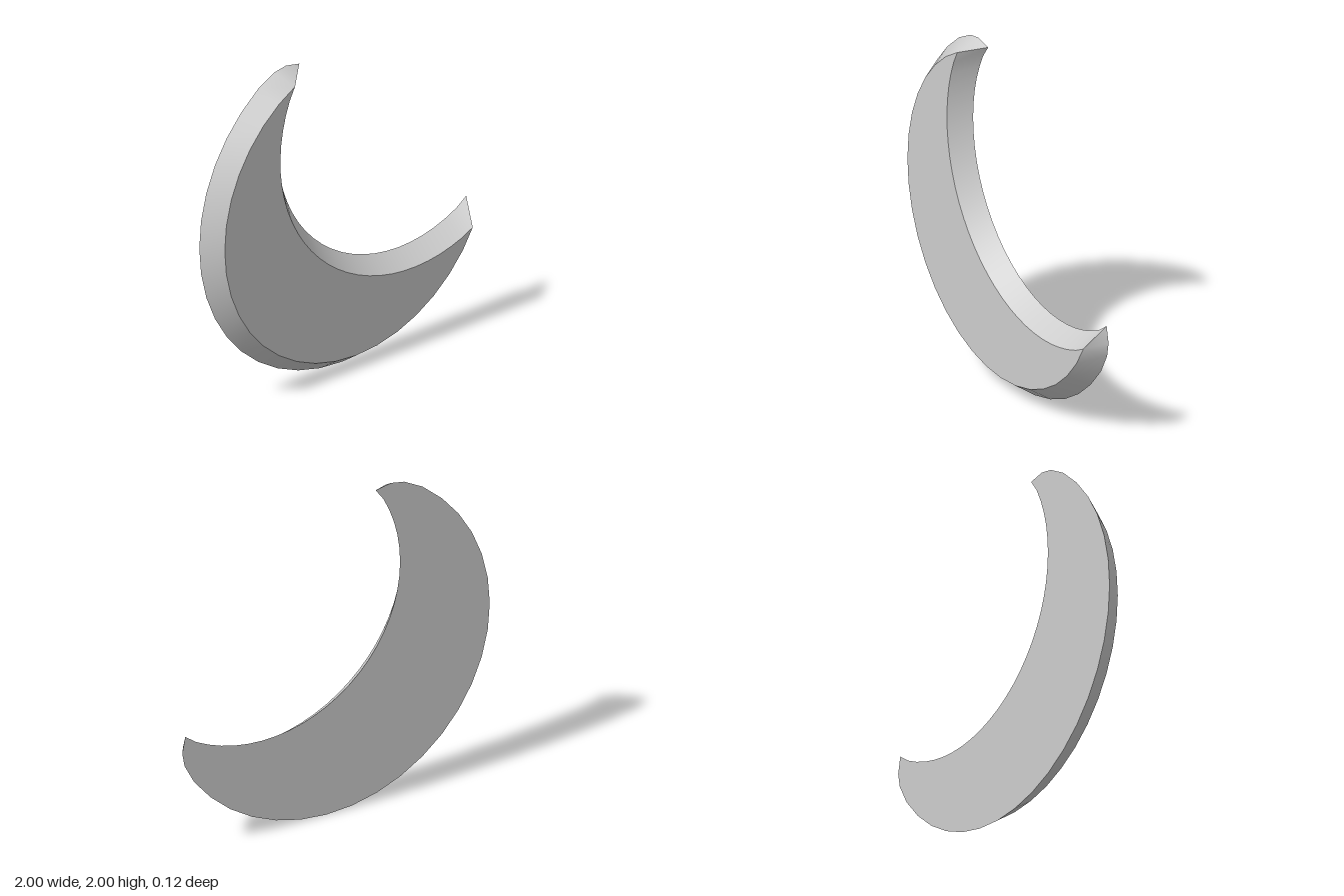
import * as THREE from 'three';
import { mergeVertices } from 'three/addons/utils/BufferGeometryUtils.js';

const HALF = 0.06; // half thickness
const AXIS = 1.005; // the crescent mirrors across the line y = x + AXIS

const v = (x, y) => new THREE.Vector2(x, y);
const mirror = (p) => v(p.y - AXIS, p.x + AXIS);

// Points on a circle from one angle (degrees) to another
function arc(cx, cy, r, from, to, steps) {
  return Array.from({ length: steps + 1 }, (_, i) => {
    const a = THREE.MathUtils.degToRad(from + ((to - from) * i) / steps);
    return v(cx + r * Math.cos(a), cy + r * Math.sin(a));
  });
}

// Outer edge: a round arc with a curled tip at both ends
function outerEdge(r, tip) {
  const end = tip.map(mirror).reverse();
  return [...tip, ...arc(0.06, 1.065, r, 126, 324, 22), ...end];
}

// Inner edge: runs back from the lower tip to the upper tip
function innerEdge(r, tip, angle) {
  const points = arc(0.48, 1.485, r, 450 - angle, angle, 28);
  points[0] = mirror(tip);
  points[points.length - 1] = tip;
  return points;
}

// Sloping wall between matching front and back edges
function wall(front, back) {
  const pos = [];
  const index = [];
  front.forEach((f, i) => {
    pos.push(f.x, f.y, HALF, back[i].x, back[i].y, -HALF);
    if (i === 0) return;
    const a = 2 * (i - 1);
    index.push(a + 1, a + 3, a);
    if (f.distanceTo(front[i - 1]) > 1e-5) index.push(a, a + 3, a + 2);
  });
  const geo = new THREE.BufferGeometry();
  geo.setAttribute('position', new THREE.Float32BufferAttribute(pos, 3));
  geo.setIndex(index);
  const merged = mergeVertices(geo, 1e-5);
  merged.computeVertexNormals();
  return merged;
}

// Flat crescent bounded by the outer and inner edges
function face(outer, inner) {
  return new THREE.ShapeGeometry(new THREE.Shape([...outer, ...inner.slice(1, -1)]));
}

export function createModel() {
  const group = new THREE.Group();
  group.name = 'crescentMoon';
  const grey = new THREE.MeshStandardMaterial({ color: 0xcccccc });
  grey.name = 'light grey';

  const add = (name, geo) => {
    const mesh = new THREE.Mesh(geo, grey);
    mesh.name = name;
    group.add(mesh);
    return mesh;
  };

  const frontTip = v(-0.395, 1.925);
  const backTip = v(-0.26, 1.98);
  const frontOuter = outerEdge(0.975, [frontTip, frontTip, frontTip]);
  const backOuter = outerEdge(1.06, [backTip, v(-0.36, 2.0), v(-0.445, 1.985)]);
  const frontInner = innerEdge(0.983, frontTip, 153.3);
  const backInner = innerEdge(0.898, backTip, 146.2);

  // Bevelled walls
  add('outerBevel', wall(frontOuter, backOuter));
  add('innerBevel', wall(frontInner, backInner));

  // Flat faces; the back is drawn flipped in x, then turned around
  add('frontFace', face(frontOuter.slice(2, -2), frontInner)).position.z = HALF;
  const flip = (p) => v(-p.x, p.y);
  const back = add('backFace', face(backOuter.map(flip), backInner.map(flip)));
  back.rotation.y = Math.PI;
  back.position.z = -HALF;

  return group;
}
